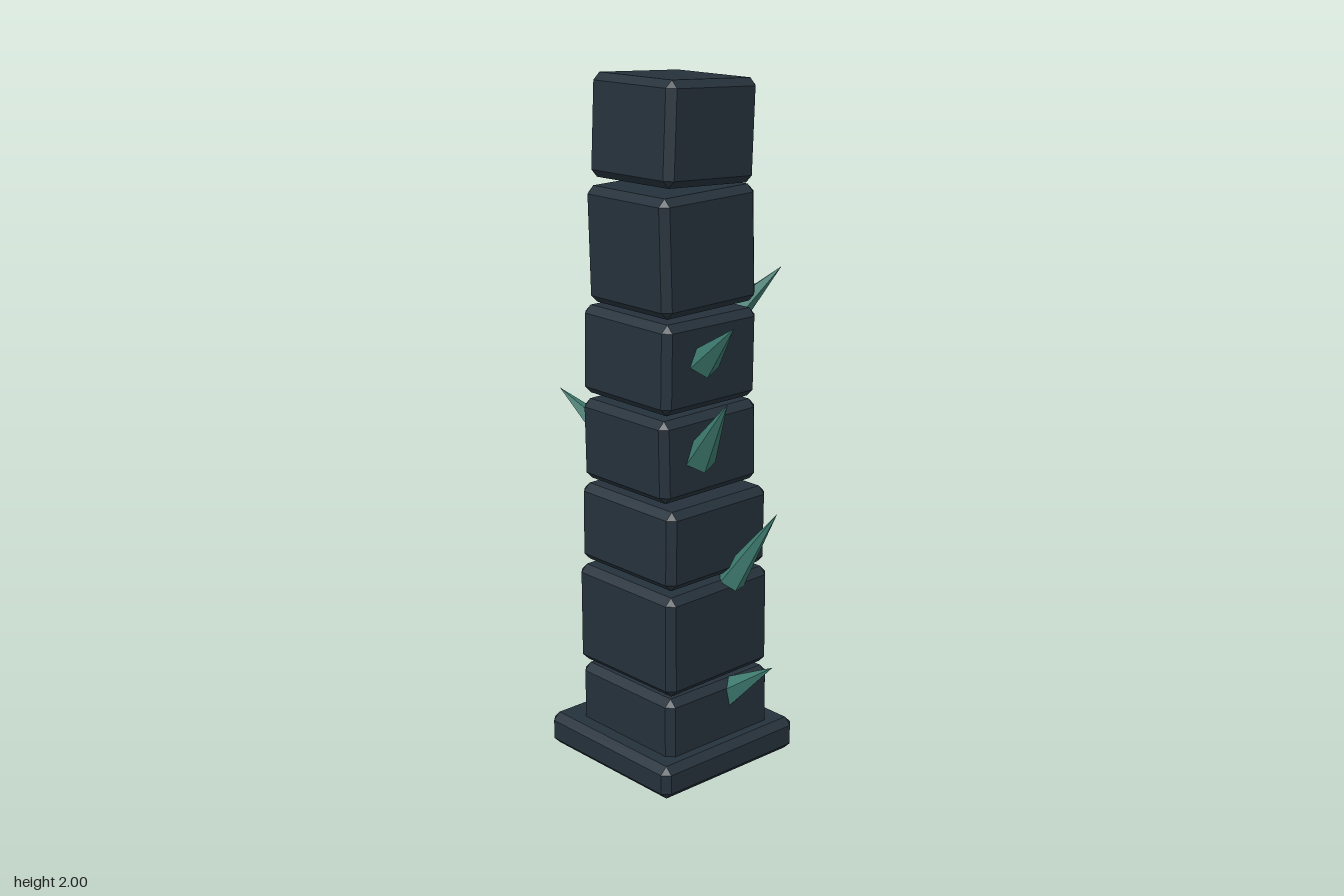
import * as THREE from 'three';
import { ConvexGeometry } from 'three/addons/geometries/ConvexGeometry.js';

// Box with every edge and corner cut by a flat bevel
function bevelledBox(w, h, d, bevel) {
  const points = [];
  for (const sx of [-1, 1]) for (const sy of [-1, 1]) for (const sz of [-1, 1]) {
    const x = w / 2, y = h / 2, z = d / 2, b = bevel;
    points.push(
      new THREE.Vector3(sx * x, sy * (y - b), sz * (z - b)),
      new THREE.Vector3(sx * (x - b), sy * y, sz * (z - b)),
      new THREE.Vector3(sx * (x - b), sy * (y - b), sz * z)
    );
  }
  return new ConvexGeometry(points);
}

export function createModel() {
  const group = new THREE.Group();
  const stone = new THREE.MeshStandardMaterial({ color: 0x25313b });
  stone.name = 'dark stone';
  const crystal = new THREE.MeshStandardMaterial({ color: 0x3c786d, flatShading: true });
  crystal.name = 'green crystal';

  // Stacked stones: name, centre, size, tilt in degrees
  const stones = [
    ['basePlinth', [-0.02, 0.053, 0.035], [0.52, 0.1, 0.515], [0.2, -0.4, -0.2]],
    ['stoneBlock1', [-0.005, 0.175, 0.035], [0.395, 0.195, 0.395], [0, -0.5, 0.2]],
    ['stoneBlock2', [-0.01, 0.433, 0.037], [0.4, 0.3, 0.395], [0.4, 0.6, -0.4]],
    ['stoneBlock3', [-0.008, 0.714, 0.037], [0.385, 0.232, 0.385], [-0.4, 1, -0.5]],
    ['stoneBlock4', [-0.025, 0.963, 0.036], [0.36, 0.238, 0.36], [0.8, -1, 0.4]],
    ['stoneBlock5', [-0.025, 1.223, 0.037], [0.355, 0.255, 0.355], [-0.5, 0.8, -0.6]],
    ['stoneBlock6', [-0.015, 1.53, 0.037], [0.34, 0.328, 0.343], [1.2, -1.2, 0.5]],
    ['topStone', [-0.01, 1.85, 0.035], [0.33, 0.283, 0.33], [-3.3, 0.3, 0.7]]
  ];
  for (const [name, centre, size, tilt] of stones) {
    const mesh = new THREE.Mesh(bevelledBox(...size, 0.021), stone);
    mesh.name = name;
    mesh.position.set(...centre);
    mesh.rotation.set(...tilt.map(THREE.MathUtils.degToRad));
    group.add(mesh);
  }

  // Crystal spikes: base centre, tip, base radius
  const spikes = [
    [[0.165, 0.225, -0.015], [0.31, 0.335, -0.053], 0.045],
    [[0.17, 0.57, -0.02], [0.305, 0.795, -0.068], 0.043],
    [[0.155, 0.955, 0.09], [0.308, 1.155, 0.13], 0.047],
    [[0.16, 1.23, 0.08], [0.312, 1.36, 0.112], 0.046],
    [[0.042, 1.3, -0.125], [0.085, 1.432, -0.296], 0.046],
    [[-0.165, 0.955, 0.135], [-0.315, 1.085, 0.2], 0.046]
  ];
  const up = new THREE.Vector3(0, 1, 0);
  spikes.forEach(([base, tip, radius], i) => {
    const from = new THREE.Vector3(...base), to = new THREE.Vector3(...tip);
    const axis = to.clone().sub(from);
    const mesh = new THREE.Mesh(new THREE.ConeGeometry(radius, axis.length(), 5), crystal);
    mesh.name = `crystalSpike${i + 1}`;
    mesh.position.copy(from).lerp(to, 0.5);
    mesh.quaternion.setFromUnitVectors(up, axis.normalize());
    group.add(mesh);
  });

  return group;
}
